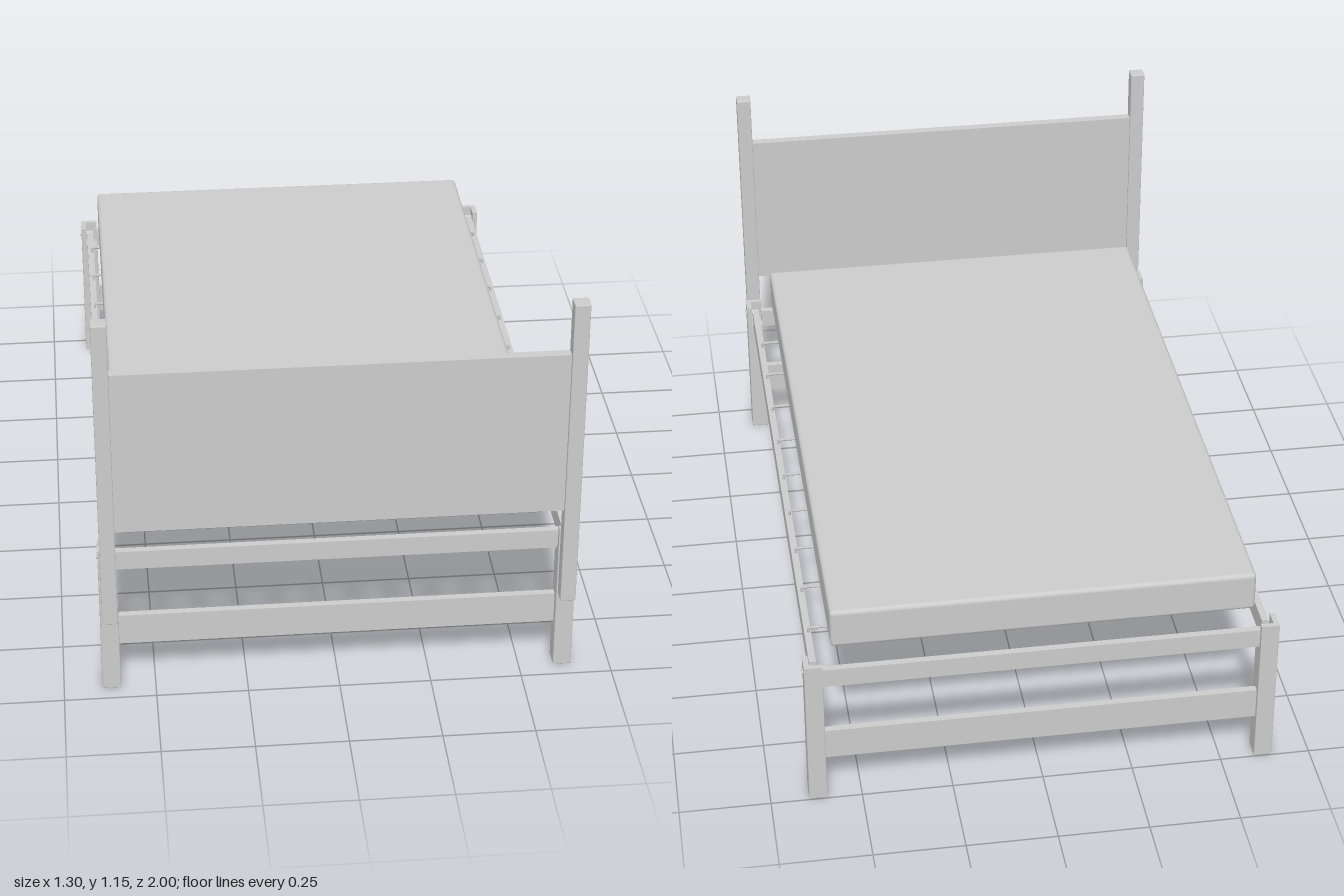
import * as THREE from 'three';
import { RoundedBoxGeometry } from 'three/addons/geometries/RoundedBoxGeometry.js';

const material = new THREE.MeshStandardMaterial({ color: 0xcccccc });

// Box given by its minimum and maximum corners, with an optional rounded edge
function block(parent, name, [x0, y0, z0], [x1, y1, z1], radius = 0) {
  const size = [x1 - x0, y1 - y0, z1 - z0];
  const geometry = radius
    ? new RoundedBoxGeometry(...size, 3, radius)
    : new THREE.BoxGeometry(...size);
  const mesh = new THREE.Mesh(geometry, material);
  mesh.position.set((x0 + x1) / 2, (y0 + y1) / 2, (z0 + z1) / 2);
  mesh.name = name;
  parent.add(mesh);
  return mesh;
}

// Box placed on either side of the bed: x range is mirrored when side is -1
function sideBlock(parent, name, side, xIn, xOut, y0, y1, z0, z1, radius) {
  const xs = [side * xIn, side * xOut].sort((a, b) => a - b);
  return block(parent, name, [xs[0], y0, z0], [xs[1], y1, z1], radius);
}

// Leg: square post whose top is an open corner bracket with a bolt
function leg(side, zIn, zOut) {
  const group = new THREE.Group();
  group.name = 'leg';
  const [z0, z1] = [zIn, zOut].sort((a, b) => a - b);
  const wall = 0.014 * Math.sign(zOut - zIn);
  const [w0, w1] = [zOut - wall, zOut].sort((a, b) => a - b);
  sideBlock(group, 'legPost', side, 0.595, 0.645, 0, 0.385, z0, z1, 0.003);
  sideBlock(group, 'legSidePlate', side, 0.63, 0.645, 0.38, 0.445, z0, z1);
  sideBlock(group, 'legEndPlate', side, 0.595, 0.645, 0.38, 0.445, w0, w1);
  const bolt = new THREE.Mesh(new THREE.CylinderGeometry(0.009, 0.009, 0.04, 12), material);
  bolt.name = 'legBolt';
  bolt.rotation.z = Math.PI / 2;
  bolt.position.set(side * 0.628, 0.415, (z0 + z1) / 2);
  group.add(bolt);
  return group;
}

// Zigzag spring wire running across the bed, hooked onto both side rails
function springWire(z) {
  const points = [[-0.615, 0.42, 0], [-0.612, 0.441, 0]];
  const waves = 5, pitch = 0.2, start = -0.5, amp = 0.035;
  for (let i = 0; i < waves; i++) {
    const x = start + i * pitch;
    points.push(
      [x, 0.441, 0], [x + 0.02, 0.441, amp], [x + 0.08, 0.441, amp],
      [x + 0.12, 0.441, -amp], [x + 0.18, 0.441, -amp]
    );
  }
  points.push([0.5, 0.441, 0], [0.612, 0.441, 0], [0.615, 0.42, 0]);
  const path = new THREE.CatmullRomCurve3(
    points.map((p) => new THREE.Vector3(...p)), false, 'catmullrom', 0.1
  );
  const mesh = new THREE.Mesh(new THREE.TubeGeometry(path, 200, 0.004, 6), material);
  mesh.name = 'springWire';
  mesh.position.z = z;
  return mesh;
}

export function createModel() {
  const bed = new THREE.Group();
  bed.name = 'bed';

  // Headboard: panel between two tall posts
  const headboard = new THREE.Group();
  headboard.name = 'headboard';
  block(headboard, 'headboardPanel', [-0.6, 0.525, 0.963], [0.6, 1.0, 0.99]);
  for (const side of [-1, 1]) {
    sideBlock(headboard, 'headboardPost', side, 0.598, 0.64, 0.24, 1.15, 0.957, 1.0, 0.003);
  }
  bed.add(headboard);

  // Legs and long side rails
  for (const side of [-1, 1]) {
    bed.add(leg(side, 0.9, 0.955), leg(side, -0.94, -0.998));
    sideBlock(bed, 'sideRail', side, 0.608, 0.627, 0.37, 0.427, -0.945, 0.905);
  }

  // Upper and lower rails at both ends
  for (const z of [0.922, -0.975]) {
    block(bed, 'upperEndRail', [-0.6, 0.37, z - 0.01], [0.6, 0.425, z + 0.01]);
    block(bed, 'lowerEndRail', [-0.6, 0.13, z - 0.01], [0.6, 0.22, z + 0.01]);
  }

  // Spring wires carrying the mattress
  const springs = new THREE.Group();
  springs.name = 'springs';
  for (let i = 0; i < 9; i++) springs.add(springWire(-0.812 + i * 0.1873));
  bed.add(springs);

  // Mattress
  block(bed, 'mattress', [-0.59, 0.46, -0.935], [0.567, 0.575, 0.9], 0.012);
  return bed;
}
